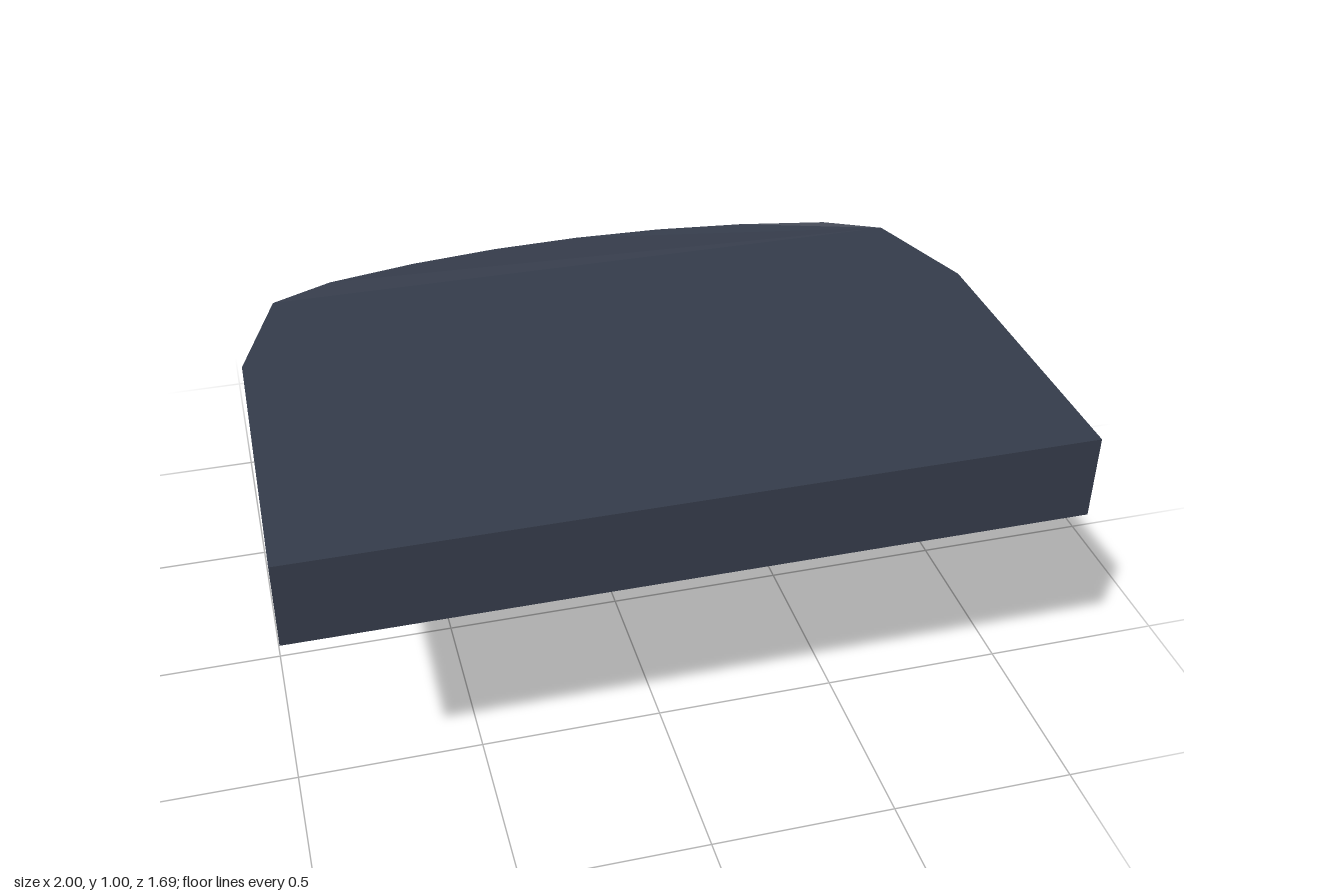
import * as THREE from 'three';

const body = new THREE.MeshStandardMaterial({ color: 0x353c4b, flatShading: true, side: THREE.DoubleSide });
body.name = 'slate grey';
const red = new THREE.MeshStandardMaterial({ color: 0x822b20, flatShading: true });
red.name = 'lamp red';

// Half outlines [x, z], running from the left front end to the rear centre
const slabFront = [[1, 0.845], [0.99, 0], [0.882, -0.31]];
const slabRear = [[0.882, -0.31], [0.72, -0.362], [0.48, -0.41], [0.24, -0.438], [0, -0.447]];
const bandOuter = [[0.985, 0], [0.908, -0.31], [0.72, -0.39], [0.48, -0.445], [0.24, -0.475], [0, -0.485]];
const bandInner = [[0.9, -0.03], [0.785, -0.15], [0.65, -0.25], [0.49, -0.335], [0.25, -0.4], [0, -0.42]];
const skirtTop = [[0.955, -0.03], [0.875, -0.285], [0.7, -0.37], [0.475, -0.425], [0.24, -0.46], [0, -0.472]];
const skirtBottom = [[0.905, -0.27], [0.79, -0.55], [0.62, -0.665], [0.45, -0.72], [0.3, -0.75], [0, -0.765]];
const skirtInnerTop = [[0.952, -0.03], [0.875, -0.16], [0.715, -0.275], [0.5, -0.37], [0.26, -0.425], [0, -0.442]];
const skirtInnerBottom = [[0.902, -0.27], [0.825, -0.41], [0.67, -0.535], [0.47, -0.645], [0.25, -0.71], [0, -0.73]];

// Complete a half outline; a point on the centre line is used once
const mirror = half => [...half, ...half.filter(([x]) => x > 0).reverse().map(([x, z]) => [-x, z])];
const ring = (half, y, dz = 0) => mirror(half).map(([x, z]) => new THREE.Vector3(x, y, z + dz));

// Flat faceted skin through a list of open rings
function loft(rings) {
  const pts = [];
  for (let r = 0; r < rings.length - 1; r++) {
    const a = rings[r], b = rings[r + 1];
    for (let i = 0; i < a.length - 1; i++) {
      pts.push(a[i], a[i + 1], b[i + 1], a[i], b[i + 1], b[i]);
    }
  }
  const g = new THREE.BufferGeometry().setFromPoints(pts);
  g.computeVertexNormals();
  return g;
}

// Upright slab over a mirrored outline, with its heights adjusted by a rule
function slabGeometry(half, height) {
  const outline = new THREE.Shape(mirror(half).map(([x, z]) => new THREE.Vector2(x, -z)));
  const g = new THREE.ExtrudeGeometry(outline, { depth: 1, bevelEnabled: false });
  g.rotateX(-Math.PI / 2);
  const p = g.attributes.position;
  for (let i = 0; i < p.count; i++) p.setY(i, height(p.getY(i) > 0.5, p.getZ(i)));
  g.computeVertexNormals();
  return g;
}

export function createModel() {
  const model = new THREE.Group();
  model.name = 'rearSection';

  const add = (name, geometry, material = body, x = 0, y = 0, z = 0) => {
    const mesh = new THREE.Mesh(geometry, material);
    mesh.name = name;
    mesh.position.set(x, y, z);
    model.add(mesh);
    return mesh;
  };
  // Box from its two extreme corners
  const box = (name, x0, x1, y0, y1, z0, z1) =>
    add(name, new THREE.BoxGeometry(x1 - x0, y1 - y0, z1 - z0), body, (x0 + x1) / 2, (y0 + y1) / 2, (z0 + z1) / 2);
  // Straight bar between two points
  const bar = (name, a, b, thick) => {
    const p = new THREE.Vector3(...a), q = new THREE.Vector3(...b);
    const mesh = add(name, new THREE.BoxGeometry(thick, thick, p.distanceTo(q)));
    mesh.position.copy(p).lerp(q, 0.5);
    mesh.lookAt(q);
  };
  // Six-sided drum facing the rear, flat on top
  const drum = (name, material, radius, x, y, z0, z1) => {
    const g = new THREE.CylinderGeometry(radius, radius, z1 - z0, 6);
    g.rotateY(Math.PI / 6);
    g.rotateX(Math.PI / 2);
    add(name, g, material, x, y, (z0 + z1) / 2);
  };

  // Top slab, with a slightly raised rear edge
  add('topSlab', slabGeometry(slabFront, (top, z) => top ? 0.985 : z > 0.5 ? 0.758 : 0.75));
  add('topSlabRear', slabGeometry(slabRear, (top, z) => top ? (z < -0.33 ? 0.998 : 0.985) : 0.75));

  // Wrap-around band: upright outside, hollow inside leaning forward to the slab
  const outerLow = ring([[0.975, 0.13], ...bandOuter.map(([x, z]) => [x * 0.993, z])], 0.48);
  const outerHigh = ring([[0.985, 0.4], ...bandOuter], 0.757);
  const innerLow = ring([[0.972, 0.13], ...bandInner], 0.476);
  const innerHigh = ring([[0.982, 0.13], ...bandInner], 0.757, 0.27);
  add('band', loft([innerHigh, innerLow, outerLow, outerHigh, innerHigh]));

  // Sloping rear skirt, thickest near its corners
  add('skirt', loft([
    ring(skirtInnerTop, 0.48), ring(skirtInnerBottom, 0), ring(skirtBottom, 0), ring(skirtTop, 0.48),
  ]));

  // Rear coupling box on its stepped mount
  box('mountPlate', -0.2, 0.2, 0.44, 0.655, -0.53, -0.47);
  box('mountStep', -0.13, 0.13, 0.425, 0.655, -0.555, -0.53);
  box('couplingNeck', -0.06, 0.06, 0.44, 0.615, -0.69, -0.55);
  box('couplingBox', -0.12, 0.12, 0.39, 0.667, -0.845, -0.69);

  for (const s of [1, -1]) {
    // Hose and its bracket
    box('hoseBracket', s * 0.24 - 0.025, s * 0.24 + 0.025, 0.6, 0.655, -0.515, -0.46);
    const path = new THREE.CatmullRomCurve3([
      [0.235, 0.63, -0.5], [0.24, 0.6, -0.54], [0.215, 0.52, -0.615], [0.135, 0.4, -0.71],
    ].map(([x, y, z]) => new THREE.Vector3(s * x, y, z)));
    add('hose', new THREE.TubeGeometry(path, 6, 0.015, 5));

    // Red lamp with its guard
    drum('lampHousing', body, 0.068, s * 0.48, 0.608, -0.49, -0.42);
    drum('redLamp', red, 0.07, s * 0.48, 0.608, -0.53, -0.49);
    for (const d of [-0.076, 0.076]) {
      bar('guardArm', [s * 0.48 + d, 0.6, -0.45], [s * 0.48 + d, 0.5, -0.55], 0.016);
    }
    box('guardBar', s * 0.48 - 0.085, s * 0.48 + 0.085, 0.485, 0.505, -0.56, -0.53);

    // Plain outer lamp
    drum('outerLamp', body, 0.067, s * 0.72, 0.608, -0.465, -0.365);
  }
  return model;
}
